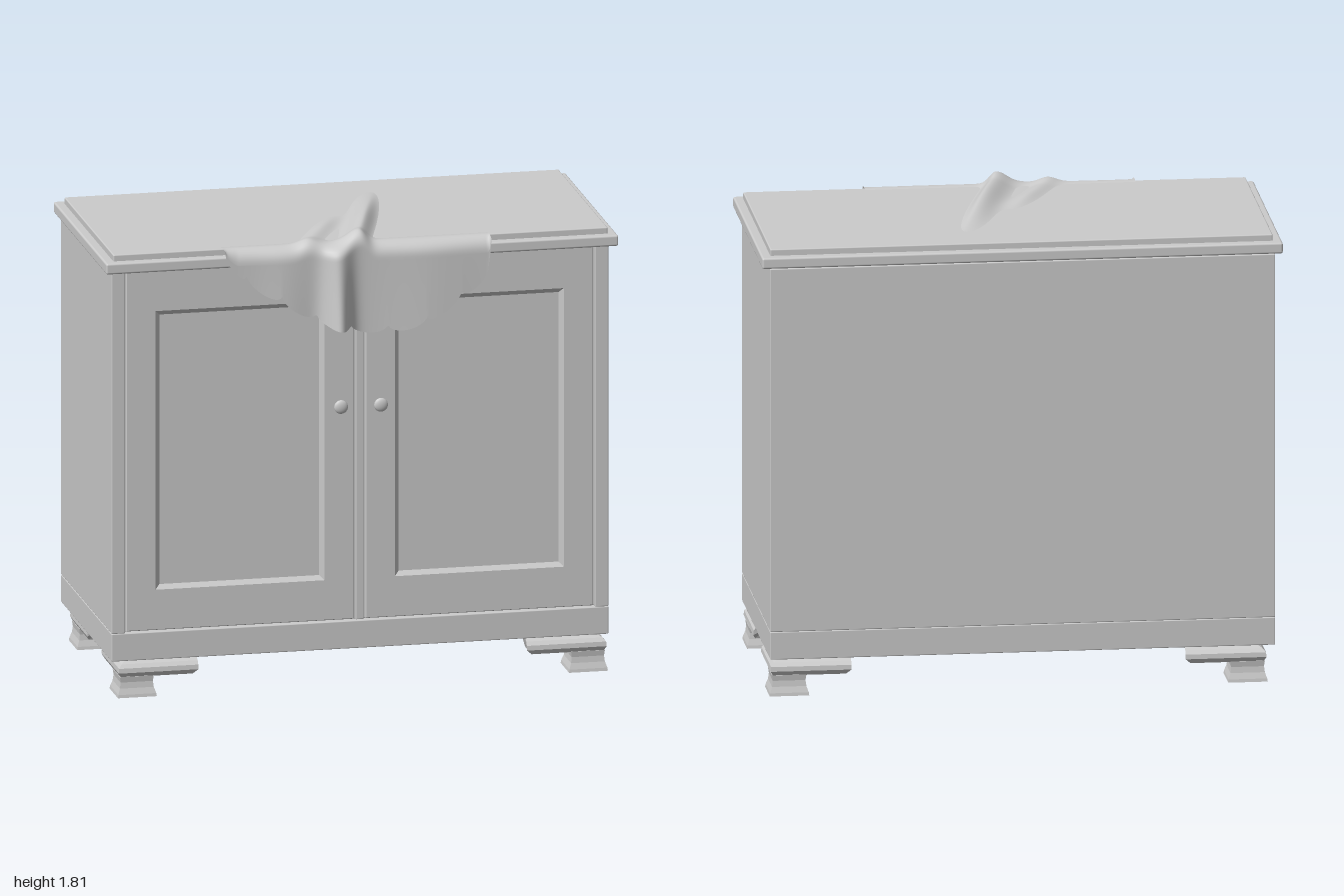
import * as THREE from 'three';
import { RoundedBoxGeometry } from 'three/addons/geometries/RoundedBoxGeometry.js';

const grey = new THREE.MeshStandardMaterial({ color: 0xcccccc });
const clothGrey = new THREE.MeshStandardMaterial({ color: 0xcccccc, side: THREE.DoubleSide });

function add(parent, name, geometry, material = grey) {
  const mesh = new THREE.Mesh(geometry, material);
  mesh.name = name;
  parent.add(mesh);
  return mesh;
}

// Softly edged box given by its limits on each axis
function block(parent, name, x0, x1, y0, y1, z0, z1, r = 0.004) {
  const mesh = add(parent, name, new RoundedBoxGeometry(x1 - x0, y1 - y0, z1 - z0, 2, r));
  mesh.position.set((x0 + x1) / 2, (y0 + y1) / 2, (z0 + z1) / 2);
  return mesh;
}

// Flat-faced skin through equal-length closed rings; caps fan around the ring centres
function skin(rings) {
  const pos = [];
  const tri = (...p) => p.forEach((v) => pos.push(v.x, v.y, v.z));
  const n = rings[0].length;
  for (let s = 0; s < rings.length - 1; s++) {
    for (let i = 0; i < n; i++) {
      const j = (i + 1) % n;
      const a = rings[s][i], b = rings[s + 1][i], c = rings[s][j], d = rings[s + 1][j];
      tri(a, b, d);
      tri(a, d, c);
    }
  }
  [rings[0], rings[rings.length - 1]].forEach((ring, end) => {
    const mid = ring.reduce((m, p) => m.add(p), new THREE.Vector3()).divideScalar(n);
    ring.forEach((p, i) => {
      const q = ring[(i + 1) % n];
      if (end) tri(mid, q, p);
      else tri(mid, p, q);
    });
  });
  const g = new THREE.BufferGeometry();
  g.setAttribute('position', new THREE.Float32BufferAttribute(pos, 3));
  g.computeVertexNormals();
  return g;
}

// Stack of rectangles [halfWidth, halfDepth, y], listed upwards
function rectStack(levels) {
  const corners = [[1, 1], [-1, 1], [-1, -1], [1, -1]];
  return skin(levels.map(([w, d, y]) => corners.map(([sx, sz]) => new THREE.Vector3(sx * w, y, sz * d))));
}

// Corner foot: mitred bracket with a bulging moulding, on a flared block
function makeFoot() {
  const foot = new THREE.Group();
  const profile = [[0.045, 0.152], [0.04, 0.14], [0.018, 0.128], [0.006, 0.114], [0.004, 0.096],
    [0.014, 0.078], [0.135, 0.078], [0.135, 0.152]];
  const reach = (y) => (y < 0.09 ? 0.295 : 0.315);
  const rings = [
    profile.map(([o, y]) => new THREE.Vector3(-o, y, -reach(y))),
    profile.map(([o, y]) => new THREE.Vector3(-o, y, -o)),
    profile.map(([o, y]) => new THREE.Vector3(-reach(y), y, -o)),
  ];
  add(foot, 'footBracket', skin(rings));
  const levels = [[0.076, 0], [0.074, 0.012], [0.066, 0.035], [0.063, 0.058], [0.066, 0.08]];
  add(foot, 'footBlock', rectStack(levels.map(([w, y]) => [w, w, y]))).position.set(-0.076, 0, -0.076);
  return foot;
}

// Scalloped hem: cusps joined by sagging arcs
const cusps = [[-0.54, 1.752], [-0.455, 1.66], [-0.32, 1.575], [-0.185, 1.5], [-0.055, 1.455],
  [0.095, 1.44], [0.245, 1.465], [0.385, 1.56], [0.49, 1.64], [0.5, 1.74]];
function hemAt(x) {
  let i = 0;
  while (i < cusps.length - 2 && x > cusps[i + 1][0]) i++;
  const [x0, y0] = cusps[i], [x1, y1] = cusps[i + 1];
  const t = (x - x0) / (x1 - x0);
  const sag = x1 - x0 > 0.05 ? 0.04 : 0;
  return y0 + (y1 - y0) * t - sag * Math.sqrt(Math.max(0, 4 * t * (1 - t)));
}

const bell = (d) => Math.exp(-d * d);
const smooth = THREE.MathUtils.smoothstep;

// Height of the cloth where it lies on the top, with two slanting creases
function clothTop(x, z) {
  const k = (z + 0.35) / 0.75;
  const d = x - (0.2 - 0.21 * Math.pow(Math.max(k, 0), 1.1));
  const main = 0.047 * smooth(z, -0.45, 0.2) * bell(d / (d < 0 ? 0.06 : 0.035));
  const d2 = x + 0.2 * (z + 0.03) / 0.41;
  const second = 0.02 * smooth(z, -0.08, 0.2) * bell(d2 / 0.045);
  return 1.75 + main + second + 0.009 * smooth(z, 0.33, 0.39);
}

// Distance of the hanging part from the cabinet front, t = 0 at the edge, 1 at the hem
function clothFront(x, t) {
  const fold = 0.075 * bell((x + 0.1) / 0.05) * (0.55 + 0.45 * t);
  const waves = 0.014 * bell((x + 0.3) / 0.1) + 0.018 * bell((x - 0.25) / 0.17);
  return 0.441 + fold + waves * (0.6 + 0.4 * t);
}

function clothGeometry() {
  const cols = 160, topRows = 50, bendRows = 8, hangRows = 24;
  const rows = topRows + bendRows + hangRows;
  const pos = [], index = [];
  for (let r = 0; r <= rows; r++) {
    for (let c = 0; c <= cols; c++) {
      const x = -0.54 + (1.04 * c) / cols;
      const edgeZ = 0.392, edgeY = clothTop(x, edgeZ), hem = Math.min(hemAt(x), edgeY - 0.004);
      const drop = Math.min(0.06, (edgeY - hem) * 0.6);
      let y, z;
      if (r <= topRows) {
        z = -0.37 + (edgeZ + 0.37) * (r / topRows);
        y = clothTop(x, z);
      } else if (r <= topRows + bendRows) {
        const a = ((r - topRows) / bendRows) * Math.PI / 2;
        z = edgeZ + (clothFront(x, 0) - edgeZ) * Math.sin(a);
        y = edgeY - drop * (1 - Math.cos(a));
      } else {
        const t = (r - topRows - bendRows) / hangRows;
        y = edgeY - drop + (hem - edgeY + drop) * t;
        z = clothFront(x, t);
      }
      pos.push(x, y, z);
      if (r < rows && c < cols) {
        const a = r * (cols + 1) + c, b = a + cols + 1;
        index.push(a, b, a + 1, b, b + 1, a + 1);
      }
    }
  }
  const g = new THREE.BufferGeometry();
  g.setAttribute('position', new THREE.Float32BufferAttribute(pos, 3));
  g.setIndex(index);
  g.computeVertexNormals();
  return g;
}

export function createModel() {
  const model = new THREE.Group();
  model.name = 'cabinet';

  // Case, plinth and stepped top
  block(model, 'plinth', -0.97, 0.97, 0.148, 0.257, -0.52, 0.385);
  block(model, 'case', -0.97, 0.97, 0.257, 1.688, -0.52, 0.36);
  block(model, 'topSlab', -1, 1, 1.688, 1.731, -0.52, 0.428, 0.008);
  block(model, 'topPanel', -0.965, 0.965, 1.725, 1.756, -0.482, 0.393, 0.005);
  block(model, 'centreStrip', -0.015, 0.015, 0.26, 1.685, 0.34, 0.381, 0.003);

  // Stiles, doors with sunken panels, and knobs
  for (const side of [1, -1]) {
    const label = side > 0 ? 'left' : 'right';
    const stileX = side * 0.9435;
    block(model, label + 'Stile', stileX - 0.0265, stileX + 0.0265, 0.257, 1.688, 0.34, 0.385);

    const door = add(model, label + 'Door', rectStack([
      [0.444, 0.709, 0], [0.444, 0.709, 0.024], [0.441, 0.706, 0.027],
      [0.33, 0.55, 0.027], [0.312, 0.532, 0.013],
    ]));
    door.rotation.x = Math.PI / 2;
    door.position.set(side * 0.467, 0.971, 0.35);

    const knob = new THREE.Group();
    knob.name = label + 'Knob';
    knob.position.set(side * 0.078, 1.108, 0.377);
    add(knob, 'knobHead', new THREE.SphereGeometry(0.027, 24, 16)).scale.z = 0.45;
    knob.children[0].position.z = 0.025;
    const stem = add(knob, 'knobStem', new THREE.CylinderGeometry(0.01, 0.01, 0.03, 16));
    stem.rotation.x = Math.PI / 2;
    stem.position.z = 0.01;
    model.add(knob);
  }

  // Four feet, turned a quarter at each corner
  [[0.97, 0.375], [0.97, -0.505], [-0.943, -0.505], [-0.943, 0.375]].forEach(([x, z], k) => {
    const foot = makeFoot();
    foot.name = ['frontLeftFoot', 'backLeftFoot', 'backRightFoot', 'frontRightFoot'][k];
    foot.position.set(x, 0, z);
    foot.rotation.y = (k * Math.PI) / 2;
    model.add(foot);
  });

  // Scalloped cloth draped over the front edge
  add(model, 'drapedCloth', clothGeometry(), clothGrey);
  return model;
}
